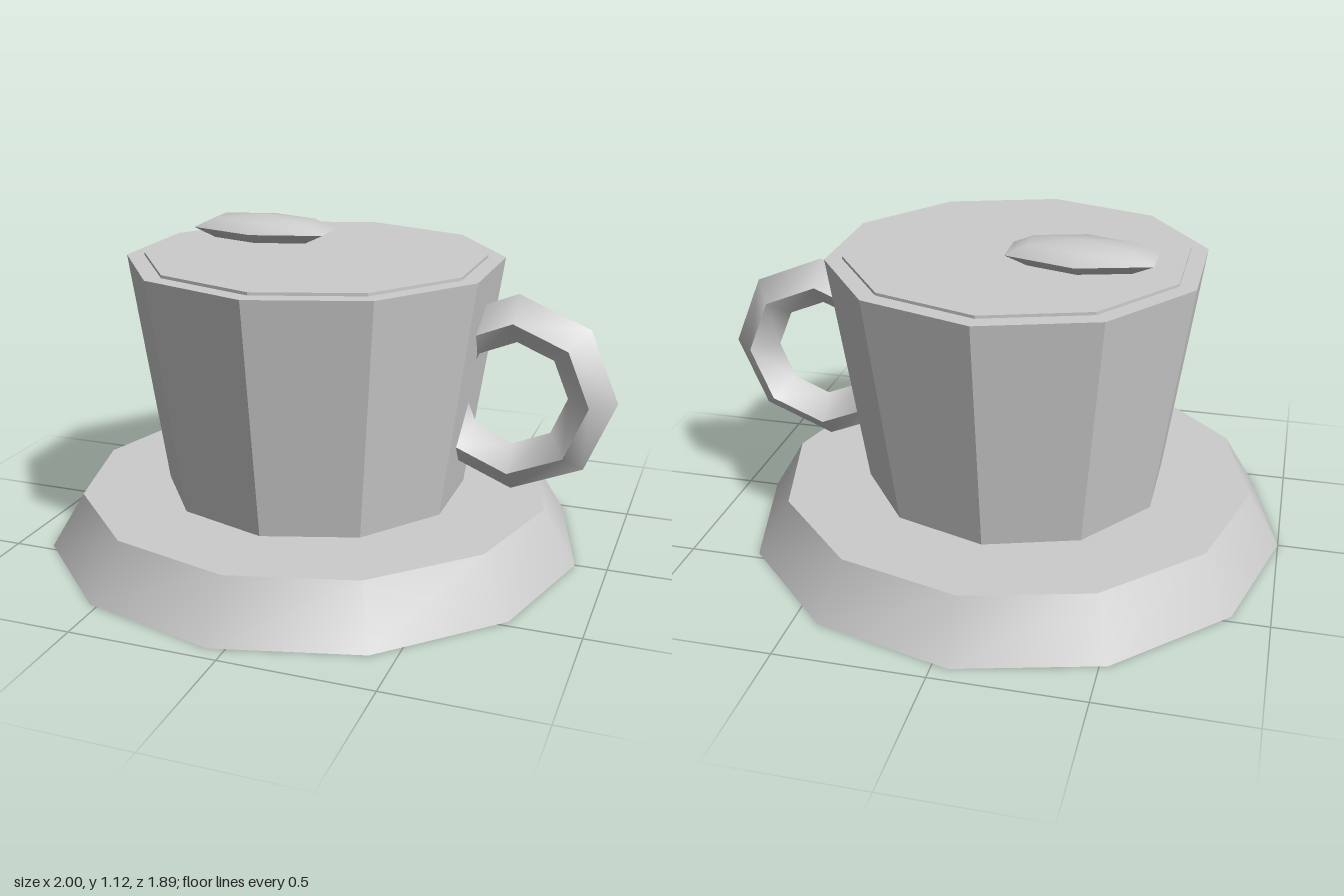
import * as THREE from 'three';
import { toCreasedNormals } from 'three/addons/utils/BufferGeometryUtils.js';

export function createModel() {
  const model = new THREE.Group();
  model.name = 'lidded cup on saucer';

  const ceramic = new THREE.MeshStandardMaterial({ color: 0xcccccc });
  ceramic.name = 'grey ceramic';

  const CENTRE_X = -0.055;                       // axis of cup and saucer
  const SOFT = THREE.MathUtils.degToRad(50);     // shallow edges blend
  const HARD = THREE.MathUtils.degToRad(10);     // every edge stays sharp

  function add(name, geometry, crease, x, y, z = 0) {
    const mesh = new THREE.Mesh(toCreasedNormals(geometry, crease), ceramic);
    mesh.name = name;
    mesh.position.set(x, y, z);
    model.add(mesh);
  }

  // Tapered prism standing between two heights
  function addPrism(name, rTop, rBottom, y0, y1, sides, crease) {
    const geometry = new THREE.CylinderGeometry(rTop, rBottom, y1 - y0, sides);
    add(name, geometry, crease, CENTRE_X, (y0 + y1) / 2);
  }

  addPrism('saucer', 0.83, 0.945, 0, 0.19, 12, SOFT);
  addPrism('cup', 0.65, 0.53, 0.19, 1.01, 10, HARD);
  addPrism('lid', 0.59, 0.59, 1.01, 1.02, 10, HARD);

  // Flattened six-sided knob, off-centre on the lid
  const knob = new THREE.SphereGeometry(1, 6, 4, Math.PI / 2).scale(0.28, 0.05, 0.14);
  add('lidKnob', knob, SOFT, -0.292, 1.07, -0.118);

  // Octagonal ring handle with a diamond section, sunk into the cup wall
  add('handle', new THREE.TorusGeometry(0.26, 0.082, 4, 8), SOFT, 0.655, 0.595);

  return model;
}
